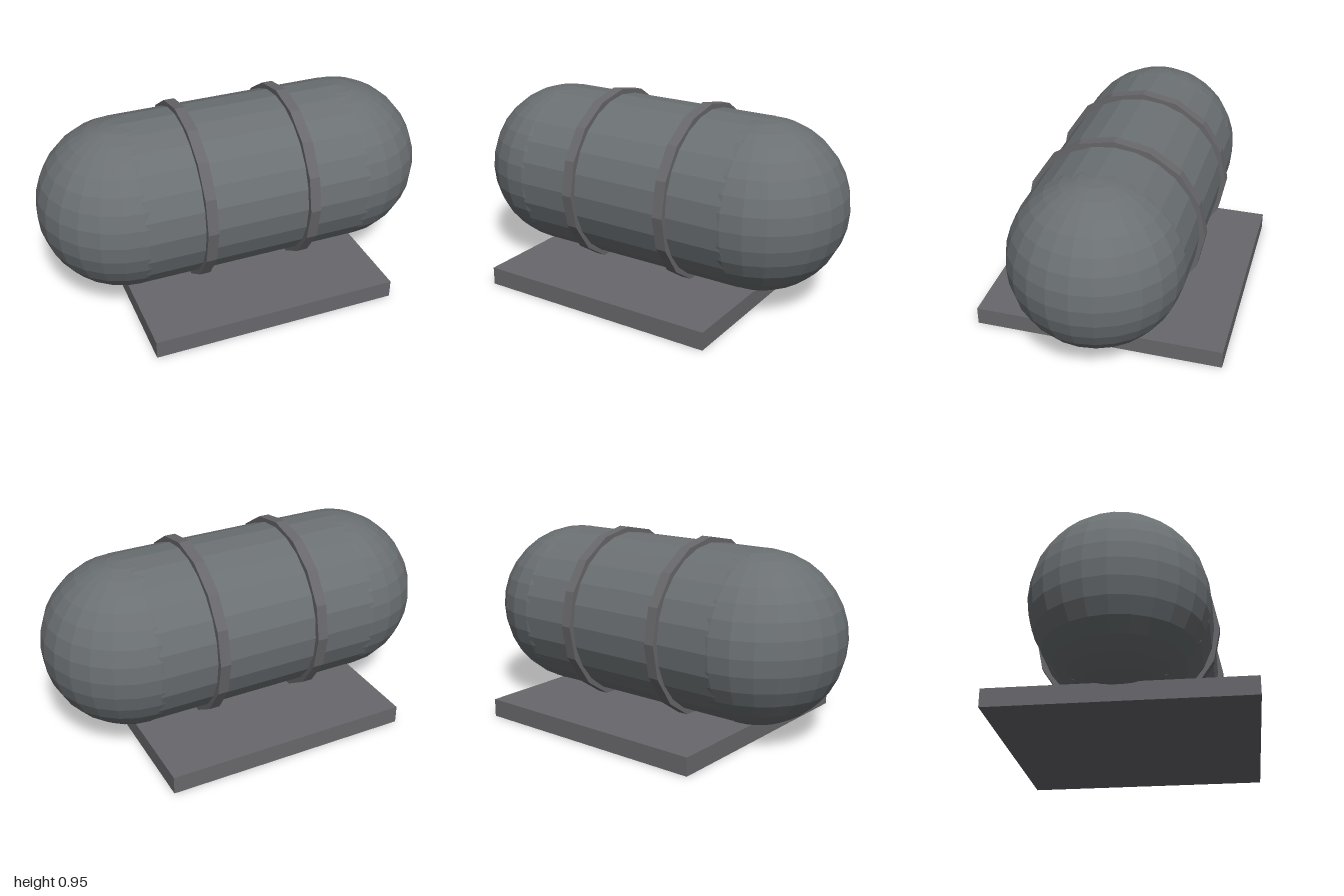
import * as THREE from 'three';

export function createModel() {
  const group = new THREE.Group();
  const tankMaterial = new THREE.MeshStandardMaterial({ color: 0x6b7073, flatShading: true });
  const frameMaterial = new THREE.MeshStandardMaterial({ color: 0x68686c, flatShading: true });

  const radius = 0.4225;
  const centreY = 0.4975;
  const halfLength = 1 - radius;

  function add(name, geometry, material, x, y) {
    const mesh = new THREE.Mesh(geometry, material);
    mesh.name = name;
    mesh.position.set(x, y, 0);
    group.add(mesh);
    return mesh;
  }

  // Flat mounting slab
  add('basePlate', new THREE.BoxGeometry(1.24, 0.09, 1.24), frameMaterial, 0, 0.045);

  // Horizontal tank body
  const body = new THREE.CylinderGeometry(radius, radius, halfLength * 2, 24).rotateZ(Math.PI / 2);
  add('tankBody', body, tankMaterial, 0, centreY);

  // Rounded ends and the straps, mirrored left and right
  const cap = new THREE.SphereGeometry(radius, 24, 16);
  const strap = new THREE.CylinderGeometry(0.45, 0.45, 0.054, 16).rotateZ(Math.PI / 2);
  for (const [side, sign] of [['left', 1], ['right', -1]]) {
    add(side + 'EndCap', cap, tankMaterial, sign * halfLength, centreY);
    add(side + 'Strap', strap, frameMaterial, sign * 0.265, centreY);
  }

  return group;
}
